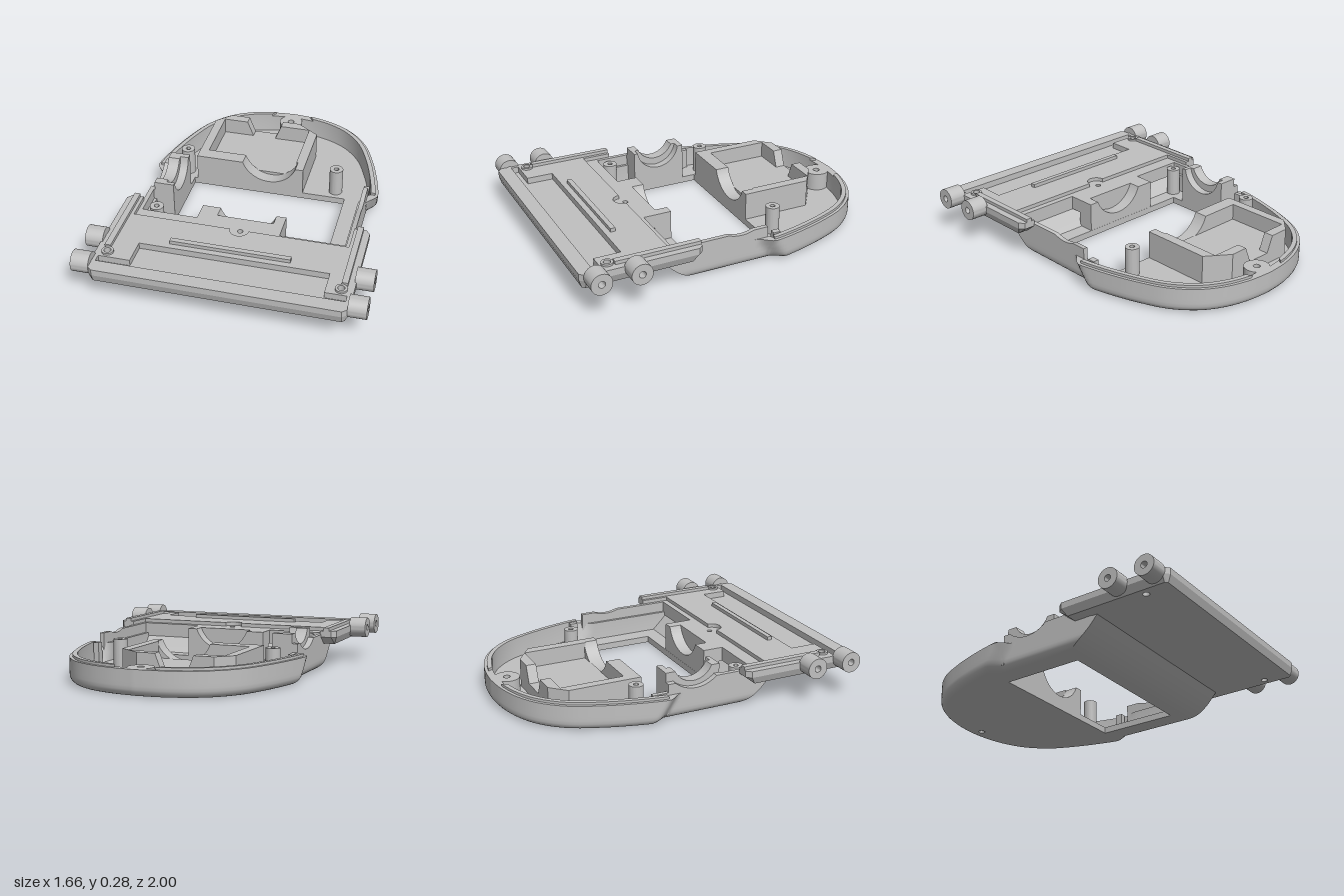
import * as THREE from 'three';
import { toCreasedNormals } from 'three/addons/utils/BufferGeometryUtils.js';

const V = (x, y) => new THREE.Vector2(x, y);

export function createModel() {
  const model = new THREE.Group();
  const grey = new THREE.MeshStandardMaterial({ color: 0xc0c0c0 });
  grey.name = 'plain grey';

  function add(name, geo) {
    const mesh = new THREE.Mesh(geo, grey);
    mesh.name = name;
    model.add(mesh);
  }
  function box(name, x0, x1, y0, y1, z0, z1) {
    const g = new THREE.BoxGeometry(x1 - x0, y1 - y0, z1 - z0);
    add(name, g.translate((x0 + x1) / 2, (y0 + y1) / 2, (z0 + z1) / 2));
  }
  const polygon = (points) => new THREE.Shape(points.map((p) => V(...p)));
  function arcShape(x, z, r, end = Math.PI * 2) {
    const s = new THREE.Shape();
    s.absarc(x, z, r, 0, end, false);
    return s;
  }
  const extrude = (shape, depth) =>
    toCreasedNormals(new THREE.ExtrudeGeometry(shape, { depth, bevelEnabled: false, curveSegments: 24 }), 0.6);

  // Flat slab with a plan outline in x and z
  function slab(name, shape, y0, y1, holes = []) {
    shape.holes.push(...holes);
    const g = extrude(shape, y1 - y0).rotateX(Math.PI / 2).translate(0, y1, 0);
    add(name, g);
    return g;
  }
  const post = (name, x, z, r, hole, y0, y1) =>
    slab(name, arcShape(x, z, r), y0, y1, [arcShape(x, z, hole)]);

  // Wall with a round cradle cut into its top edge, centred on u = 0
  function cradle(u0, u1, y0, y1, half, sag, depth) {
    const r = (half * half + sag * sag) / (2 * sag);
    const a = Math.asin((r - sag) / r);
    const s = polygon([[u0, y0], [u1, y0], [u1, y1], [half, y1]]);
    s.absarc(0, y1 + r - sag, r, -a, -Math.PI + a, true);
    s.lineTo(u0, y1);
    return extrude(s, depth);
  }
  const cradleAlongZ = (name, z0, z1, ...p) => add(name, cradle(...p, z1 - z0).translate(0, 0, z0));
  const cradleAlongX = (name, x0, x1, ...p) =>
    add(name, cradle(...p, x1 - x0).rotateY(-Math.PI / 2).translate(x1, 0, 0));

  // Hull plan: domed rear, flare into a narrower waist, straight front
  const round = (y) => (y < 0.05 ? 0.05 - Math.sqrt(Math.max(0, 0.0025 - (0.05 - y) ** 2)) : 0);
  const dome = new THREE.SplineCurve([
    V(0, -1), V(0.15, -0.985), V(0.3, -0.94), V(0.43, -0.86), V(0.54, -0.73), V(0.615, -0.56), V(0.665, -0.4),
    V(0.7, -0.25), V(0.71, -0.17),
  ]).getPoints(48);
  function halfOutline(y) {
    const t = Math.min(1, y / 0.15);
    const front = 0.25 + 0.24 * Math.sqrt(t) + round(y);
    const flare = -0.2 - 0.1 * (1 - t);
    const pts = dome.map((p) => p.clone());
    for (let i = 1; i <= 8; i++) pts.push(V(0.71, -0.17 + i * 0.015));
    pts.push(V(0.71, 0.1), V(0.71, front));
    for (const p of pts) {
      const k = THREE.MathUtils.smoothstep(p.y, flare, flare + 0.11);
      p.x += (0.645 - p.x) * k;
    }
    return pts;
  }
  function outline(y, inset) {
    const half = halfOutline(y);
    const pts = [...half, ...half.slice(1).reverse().map((p) => V(-p.x, p.y))];
    const n = pts.length;
    return pts.map((p, i) => {
      const d = pts[(i + 1) % n].clone().sub(p).normalize();
      d.add(p.clone().sub(pts[(i + n - 1) % n]).normalize());
      d.multiplyScalar((2 * inset) / d.lengthSq());
      return V(p.x - d.y, p.y + d.x);
    });
  }

  // Hull shell: up the outside, over the rim, down the inside
  const rings = [0, 0.002, 0.007, 0.015, 0.026, 0.04, 0.06, 0.085, 0.115, 0.15].map((y) => [y, outline(y, round(y))]);
  rings.push([0.15, outline(0.15, 0.045)], [0.09, outline(0.09, 0.045)], [0.03, outline(0.04, 0.05)]);
  const pos = [], index = [], n = rings[0][1].length;
  rings.forEach(([y, pts]) => pts.forEach((p) => pos.push(p.x, y, p.y)));
  for (let i = 0; i < rings.length - 1; i++) {
    for (let j = 0; j < n; j++) {
      const a = i * n + j, b = i * n + ((j + 1) % n);
      index.push(a, a + n, b, b, a + n, b + n);
    }
  }
  const hull = new THREE.BufferGeometry();
  hull.setAttribute('position', new THREE.Float32BufferAttribute(pos, 3));
  hull.setIndex(index);
  add('hullShell', toCreasedNormals(hull, 0.7));

  // Floor with the large window and the rear screw hole
  const windowHole = polygon([[-0.49, -0.26], [0.49, -0.26], [0.49, 0.244], [-0.49, 0.244]]);
  slab('hullFloor', new THREE.Shape(rings[0][1]), 0, 0.04, [windowHole, arcShape(0, -0.9, 0.02)]);
  // Front strip of floor under the pockets
  box('pocketFloor', -0.61, 0.61, 0.03, 0.04, 0.244, 0.35);

  // Raised lip on the rear rim, with a gap at the centre
  const outer = outline(0.15, 0.018).slice(0, dome.length), inner = outline(0.15, 0.045).slice(0, dome.length);
  const keep = (p) => p.x > 0.12 && p.y < -0.19;
  const lip = [...outer.filter(keep), ...inner.filter(keep).reverse()];
  slab('leftRimLip', new THREE.Shape(lip), 0.14, 0.165);
  slab('rightRimLip', new THREE.Shape(lip.map((p) => V(-p.x, p.y))), 0.14, 0.165);

  // Screw posts
  post('rearPost', 0, -0.9, 0.075, 0.02, 0.03, 0.15);
  for (const [x, z] of [[-0.55, -0.33], [0.42, -0.33], [-0.55, 0.31]]) post('screwPost', x, z, 0.042, 0.015, 0.03, 0.21);

  // Rear compartment: base, side walls, cradle wall at the window
  slab('compartmentBase', polygon([[-0.47, -0.34], [-0.47, -0.7], [-0.38, -0.79], [0.08, -0.79], [0.22, -0.69],
    [0.22, -0.34]]), 0.03, 0.11);
  slab('compartmentRightWall', polygon([[-0.47, -0.34], [-0.47, -0.7], [-0.38, -0.79], [-0.26, -0.79], [-0.26, -0.73],
    [-0.415, -0.73], [-0.415, -0.34]]), 0.11, 0.21);
  slab('compartmentLeftWall', polygon([[0.22, -0.34], [0.22, -0.69], [0.08, -0.79], [-0.03, -0.79], [-0.03, -0.73],
    [0.16, -0.73], [0.16, -0.34]]), 0.11, 0.21);
  for (const wedge of [[[-0.26, 0.11], [-0.22, 0.11], [-0.26, 0.21]], [[-0.03, 0.11], [-0.03, 0.21], [-0.07, 0.11]]]) {
    add('openingSlope', extrude(polygon(wedge), 0.06).translate(0, 0, -0.79));
  }
  cradleAlongZ('rearCradle', -0.345, -0.26, -0.47, 0.22, 0.03, 0.21, 0.17, 0.12);

  // Front cradle and deck behind it, leaving a pocket on each side
  cradleAlongZ('frontCradle', 0.245, 0.32, -0.28, 0.23, 0.03, 0.215, 0.17, 0.12);
  box('deckSupport', -0.28, 0.23, 0.03, 0.14, 0.32, 0.35);
  slab('deck', polygon([[-0.645, 0.37], [-0.28, 0.37], [-0.28, 0.32], [0.23, 0.32], [0.23, 0.42], [0.645, 0.42],
    [0.645, 0.456], [-0.645, 0.456]]), 0.13, 0.215, [arcShape(0, 0.437, 0.016)]);

  // Side walls of the waist and the stepped cradle on the right
  cradleAlongX('leftWaistWall', 0.618, 0.645, -0.17, 0.44, 0.1, 0.215, 0.08, 0.015);
  box('leftWaistTab', 0.61, 0.645, 0.03, 0.165, -0.255, -0.21);
  box('rightWaistTab', -0.645, -0.618, 0.03, 0.165, -0.27, -0.17);
  box('rightWaistWall', -0.645, -0.618, 0.1, 0.215, 0.16, 0.44);
  cradleAlongX('sideCradleOuter', -0.645, -0.6, -0.175, 0.165, 0.1, 0.215, 0.13, 0.05);
  cradleAlongX('sideCradleMiddle', -0.61, -0.54, -0.175, 0.165, 0.03, 0.27, 0.115, 0.075);
  cradleAlongX('sideCradleInner', -0.54, -0.49, -0.175, 0.165, 0.03, 0.27, 0.14, 0.12);

  // Front plate: lower layer with a sloped underside edge, then a top layer with a stepped recess
  const plate = (back) => polygon([[-0.64, back], [-0.64, 0.28], [-0.71, 0.28], [-0.735, 0.31], [-0.735, 0.97],
    [-0.7, 1], [0.7, 1], [0.735, 0.97], [0.735, 0.31], [0.71, 0.28], [0.64, 0.28], [0.64, back]]);
  const screwHoles = () => [-0.665, 0.665].map((x) => arcShape(x, 0.825, 0.02));
  const base = slab('plateBase', plate(0.45), 0.153, 0.2, screwHoles());
  const corner = base.attributes.position;
  for (let i = 0; i < corner.count; i++) {
    if (corner.getY(i) > 0.16) continue;
    corner.setX(i, THREE.MathUtils.clamp(corner.getX(i), -0.715, 0.715));
    corner.setZ(i, THREE.MathUtils.clamp(corner.getZ(i), 0.34, 0.985));
  }
  base.computeVertexNormals();
  const top = plate(0.456);
  top.absarc(0, 0.456, 0.055, 0, Math.PI, false);
  const recess = polygon([[-0.52, 0.71], [0.58, 0.71], [0.58, 0.87], [0.705, 0.87], [0.705, 0.915],
    [-0.705, 0.915], [-0.705, 0.87], [-0.52, 0.87]]);
  slab('plateTop', top, 0.2, 0.238, [recess, ...screwHoles()]);
  slab('plateTab', arcShape(0, 0.456, 0.056, Math.PI), 0.2, 0.215);
  box('plateRidge', -0.35, 0.35, 0.23, 0.26, 0.645, 0.675);

  // Rails, screw bosses and hollow side pegs
  for (const s of [-1, 1]) {
    const side = s > 0 ? 'left' : 'right';
    box(side + 'Rail', s * 0.6775 - 0.0175, s * 0.6775 + 0.0175, 0.23, 0.258, 0.28, 0.79);
    post(side + 'Boss', s * 0.665, 0.825, 0.034, 0.02, 0.2, 0.25);
    for (const z of [0.69, 0.92]) {
      const ring = arcShape(0, 0, 0.062);
      ring.holes.push(arcShape(0, 0, 0.02));
      add(side + 'Peg', extrude(ring, 0.105).rotateY(s * Math.PI / 2).translate(s * 0.725, 0.222, z));
    }
  }
  return model;
}
